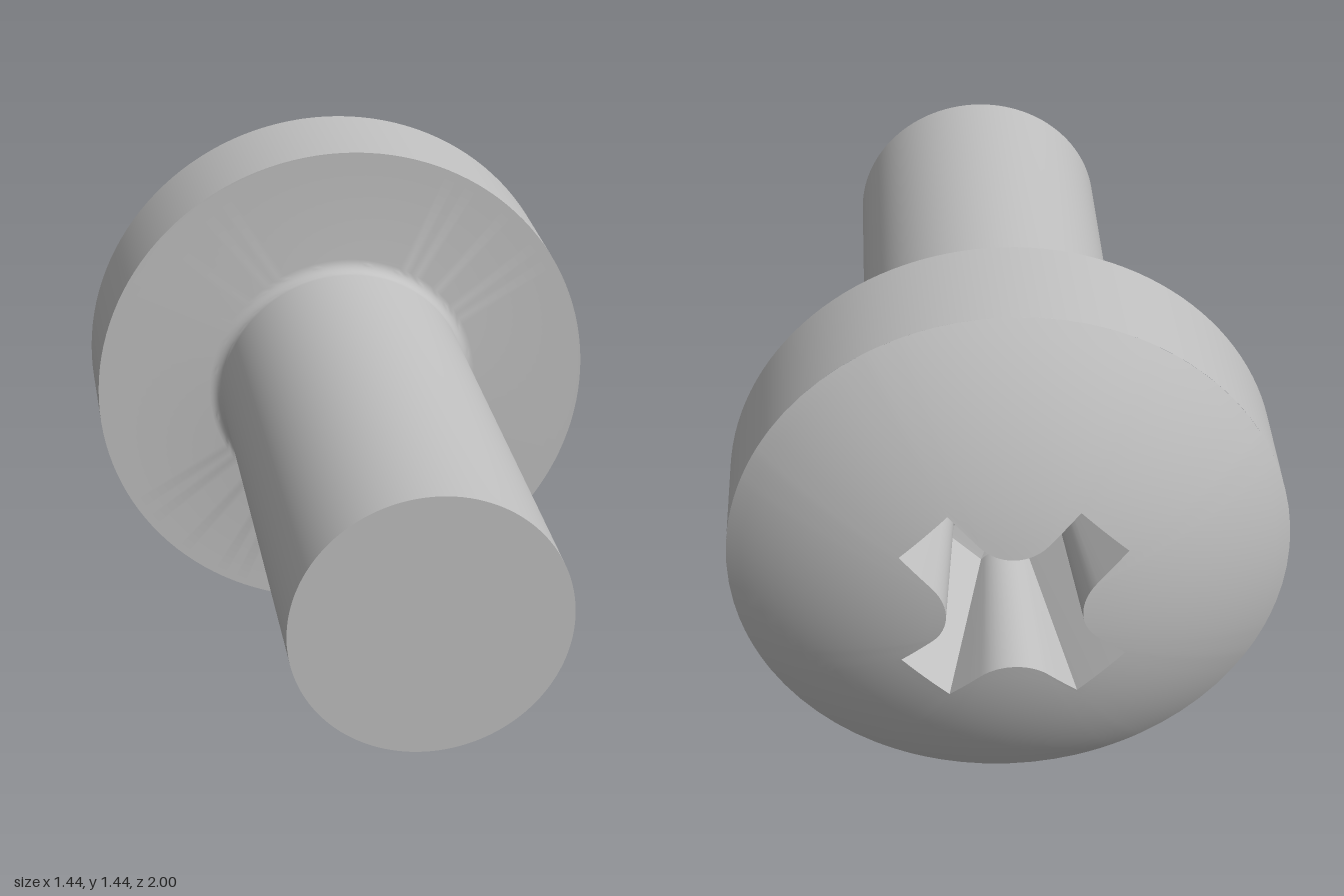
import * as THREE from 'three';
import { toCreasedNormals } from 'three/addons/utils/BufferGeometryUtils.js';

const HEAD_R = 0.72, SHANK_R = 0.36, APEX = 1.0127, RIM = 0.76;
const SAG = APEX - RIM;
const DOME_R = (HEAD_R * HEAD_R + SAG * SAG) / (2 * SAG);
const domeHeight = (x, y) => APEX - DOME_R + Math.sqrt(DOME_R * DOME_R - x * x - y * y);

// Cross outline: arm reach t, half width w, rounded inner corners of radius f
function crossOutline(t, w, f) {
  const arm = [];
  for (let i = 0; i < 6; i++) arm.push([t, -w + (2 * w * i) / 6]);
  for (let i = 0; i < 3; i++) arm.push([t + ((w + f - t) * i) / 3, w]);
  for (let i = 0; i <= 12; i++) {
    const a = -Math.PI / 2 - (i / 12) * Math.PI / 2;
    arm.push([w + f + f * Math.cos(a), w + f + f * Math.sin(a)]);
  }
  for (let i = 1; i < 3; i++) arm.push([w, w + f + ((t - w - f) * i) / 3]);
  const points = [];
  for (let k = 0; k < 4; k++) {
    const a = Math.PI / 4 + k * Math.PI / 2, c = Math.cos(a), s = Math.sin(a);
    for (const [x, y] of arm) points.push([x * c - y * s, x * s + y * c]);
  }
  return points;
}

// Surface through closed rings of points, listed from the inside outwards
function ringSurface(rings) {
  const n = rings[0].length, index = [];
  for (let j = 0; j < rings.length - 1; j++) {
    for (let i = 0; i < n; i++) {
      const a = j * n + i, b = j * n + ((i + 1) % n);
      index.push(a, a + n, b + n, a, b + n, b);
    }
  }
  const geometry = new THREE.BufferGeometry();
  geometry.setAttribute('position', new THREE.Float32BufferAttribute(rings.flat(2), 3));
  geometry.setIndex(index);
  geometry.computeVertexNormals();
  return geometry;
}

export function createModel() {
  const steel = new THREE.MeshStandardMaterial({ color: 0xc0c0c0 });
  steel.name = 'steel grey';
  const model = new THREE.Group();
  model.name = 'screw';
  const add = (name, geometry) => {
    const mesh = new THREE.Mesh(geometry, steel);
    mesh.name = name;
    model.add(mesh);
  };

  // Shank, small fillet under the head, and the head's straight side
  const fillet = 0.035, under = 0.437;
  const profile = [[0, -1], [SHANK_R, -1]];
  for (let i = 0; i <= 6; i++) {
    const a = (i / 6) * Math.PI / 2;
    profile.push([SHANK_R + fillet * (1 - Math.cos(a)), under - fillet + fillet * Math.sin(a)]);
  }
  profile.push([HEAD_R, under], [HEAD_R, RIM]);
  const body = new THREE.LatheGeometry(profile.map(([r, h]) => new THREE.Vector2(r, h)), 128);
  body.rotateX(Math.PI / 2);
  add('shankAndHeadSide', toCreasedNormals(body, 0.5));

  // Domed top of the head, from the recess edge out to the rim
  const edge = crossOutline(0.315, 0.085, 0.12);
  const domeRings = [];
  for (let j = 0; j <= 14; j++) {
    domeRings.push(edge.map(([x, y]) => {
      const r = Math.hypot(x, y), k = 1 + (j / 14) * (HEAD_R / r - 1);
      return [x * k, y * k, domeHeight(x * k, y * k)];
    }));
  }
  add('headDome', ringSurface(domeRings));

  // Tapered cross recess with a shallow conical floor
  const floor = crossOutline(0.16, 0.07, 0.08).map(([x, y]) => [x, y, 0.57]);
  const top = edge.map(([x, y]) => [x, y, domeHeight(x, y)]);
  const tip = floor.map(() => [0, 0, 0.53]);
  add('driveRecess', toCreasedNormals(ringSurface([tip, floor, top]), 0.5));

  // Head faces the back, shank points to the front
  model.rotation.y = Math.PI;
  model.position.y = HEAD_R;
  const root = new THREE.Group();
  root.name = 'panHeadScrew';
  root.add(model);
  return root;
}
